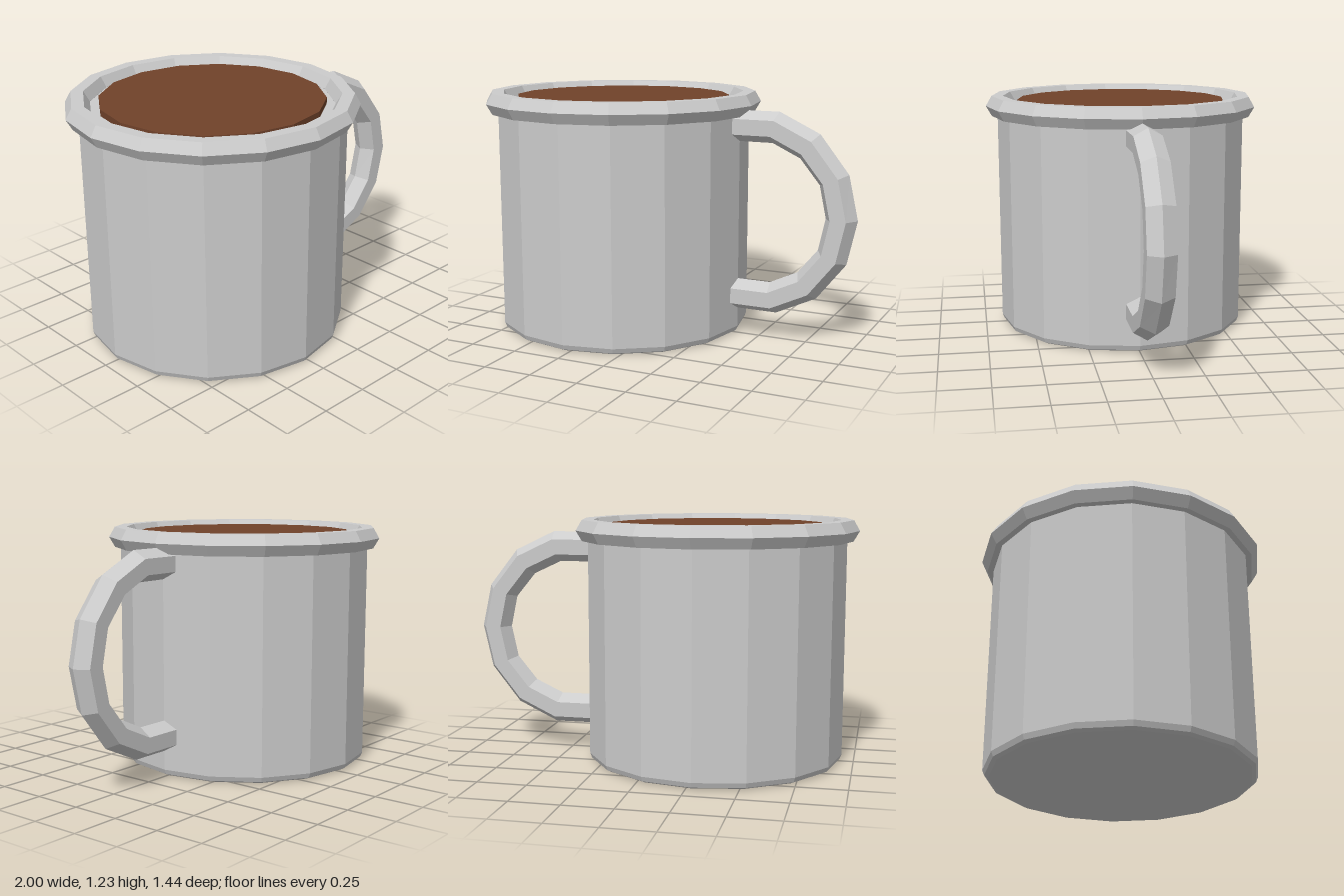
import * as THREE from 'three';

const SIDES = 16;
const CUP_X = -0.28;

const metal = new THREE.MeshStandardMaterial({ color: 0xcccccc, flatShading: true });
const brown = new THREE.MeshStandardMaterial({ color: 0x70422a, flatShading: true });

function addPart(group, name, geometry, material) {
  const mesh = new THREE.Mesh(geometry, material);
  mesh.name = name;
  group.add(mesh);
  return mesh;
}

// Six-sided bar swept along a pair of outer and inner outlines in the xy plane
function handleGeometry(outer, inner, halfDepth) {
  const positions = [];
  const index = [];
  const n = 6;
  outer.forEach(([ox, oy], i) => {
    const [ix, iy] = inner[i];
    for (let k = 0; k < n; k++) {
      const a = (k / n) * Math.PI * 2;
      const c = Math.cos(a) / 2;
      positions.push(
        (ox + ix) / 2 + (ox - ix) * c,
        (oy + iy) / 2 + (oy - iy) * c,
        Math.sin(a) * halfDepth
      );
      if (i < outer.length - 1) {
        const p = i * n + k;
        const q = i * n + ((k + 1) % n);
        index.push(p, q, q + n, p, q + n, p + n);
      }
    }
  });
  const geometry = new THREE.BufferGeometry();
  geometry.setAttribute('position', new THREE.Float32BufferAttribute(positions, 3));
  geometry.setIndex(index);
  geometry.computeVertexNormals();
  return geometry;
}

export function createModel() {
  const model = new THREE.Group();
  model.name = 'mug';

  const cup = new THREE.Group();
  cup.name = 'cup';
  cup.position.x = CUP_X;
  model.add(cup);

  // Body with a bevelled foot and a flat ledge inside the rim
  const profile = [
    [0, 0], [0.63, 0], [0.65, 0.01], [0.66, 0.035], [0.66, 1.18], [0, 1.18],
  ].map(([r, y]) => new THREE.Vector2(r, y));
  addPart(cup, 'body', new THREE.LatheGeometry(profile, SIDES), metal);

  // Rolled rim with a hexagonal section
  const rim = new THREE.TorusGeometry(0.66, 0.061, 6, SIDES).rotateX(Math.PI / 2);
  addPart(cup, 'rim', rim, metal).position.y = 1.181;

  // Drink surface standing slightly above the ledge
  const drink = new THREE.CylinderGeometry(0.555, 0.555, 0.06, SIDES);
  addPart(cup, 'drink', drink, brown).position.y = 1.182;

  // Handle: upper half of the outlines, mirrored about its middle height
  const midY = 0.647;
  const mirror = (half) => [
    ...half,
    ...half.slice(0, -1).reverse().map(([x, y]) => [x, 2 * midY - y]),
  ];
  const outer = mirror([[0.32, 1.16], [0.59, 1.16], [0.8, 1.06], [0.95, 0.87], [1, midY]]);
  const inner = mirror([[0.32, 1.003], [0.555, 1.003], [0.7, 0.935], [0.803, 0.81], [0.838, midY]]);
  addPart(model, 'handle', handleGeometry(outer, inner, 0.08), metal);

  return model;
}
